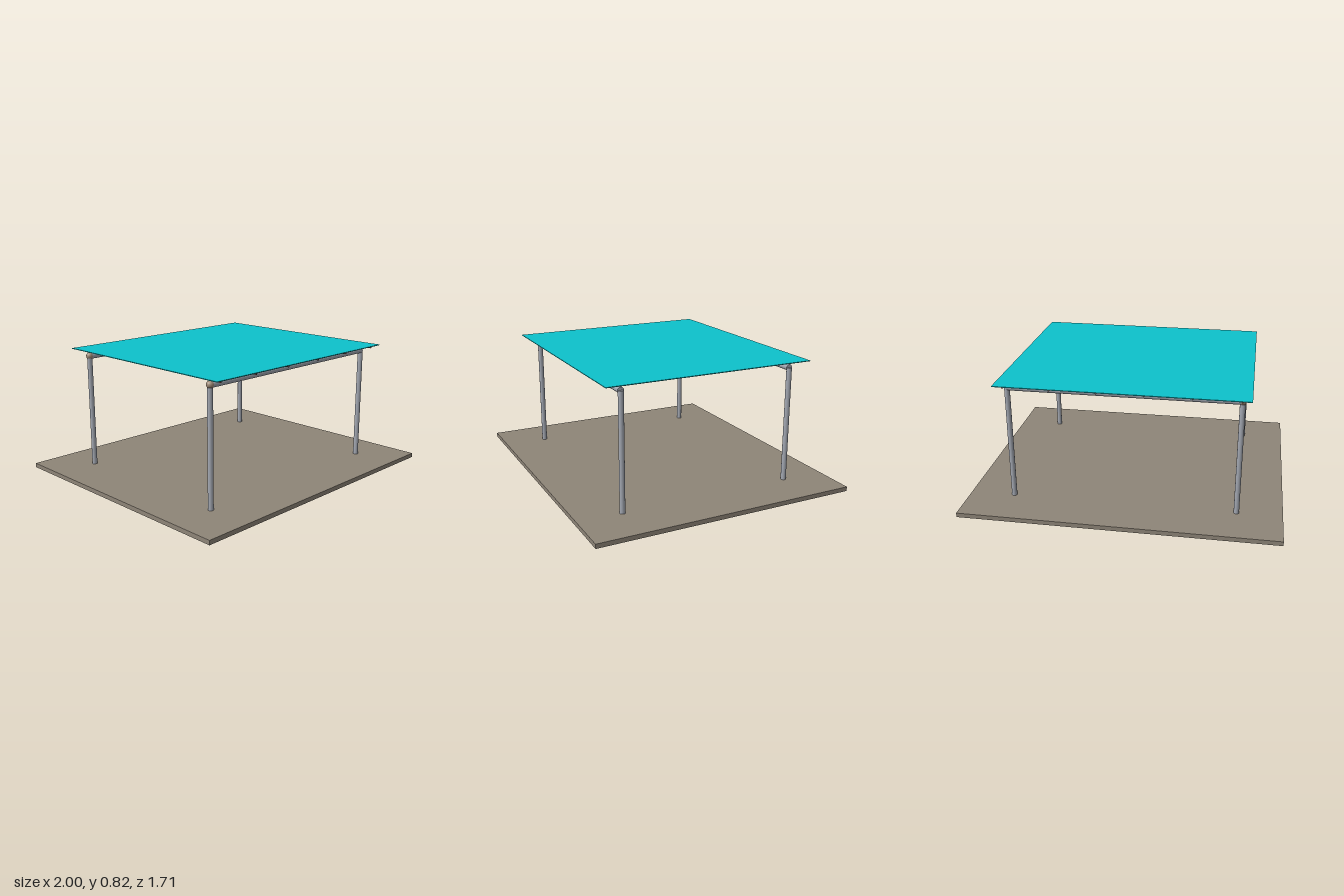
import * as THREE from 'three';

const material = (name, color) => {
  const m = new THREE.MeshStandardMaterial({ color });
  m.name = name;
  return m;
};

export function createModel() {
  const model = new THREE.Group();
  model.name = 'canopy';

  const stone = material('stone', 0x8e8578);
  const steel = material('steel', 0xa3a8b2);
  const teal = material('teal roof', 0x0dc2cb);
  const rust = material('rust', 0xa5645a);
  const bronze = material('bronze', 0xa08c78);

  const add = (name, geometry, mat, x, y, z) => {
    const mesh = new THREE.Mesh(geometry, mat);
    mesh.name = name;
    mesh.position.set(x, y, z);
    model.add(mesh);
    return mesh;
  };

  const baseTop = 0.0286, postTop = 0.775;
  const postX = 0.714, postZ = 0.571;

  // Ground slab
  add('base', new THREE.BoxGeometry(2, baseTop, 1.714), stone, 0, baseTop / 2, 0);

  // Posts, beams along x, and the joint balls at one end of each beam
  const postHeight = postTop - baseTop;
  const post = new THREE.CylinderGeometry(0.0171, 0.0171, postHeight, 16);
  const beam = new THREE.CylinderGeometry(0.02, 0.02, postX * 2, 16).rotateZ(Math.PI / 2);
  const ball = new THREE.SphereGeometry(0.0229, 16, 12);
  for (const z of [-postZ, postZ]) {
    for (const x of [-postX, postX]) {
      add('post', post, steel, x, baseTop + postHeight / 2, z);
    }
    add('beam', beam, steel, 0, postTop, z);
    add('jointBall', ball, bronze, -postX, postTop, z);
  }

  // Six thin purlins along z
  const purlin = new THREE.CylinderGeometry(0.0057, 0.0057, 1.314, 8).rotateX(Math.PI / 2);
  for (let i = 0; i < 6; i++) {
    add('purlin', purlin, rust, -postX + (i * 2 * postX) / 5, 0.803, 0);
  }

  // Thin roof sheet
  add('roof', new THREE.BoxGeometry(1.543, 0.0045, 1.371), teal, 0, 0.8175, 0);

  return model;
}
